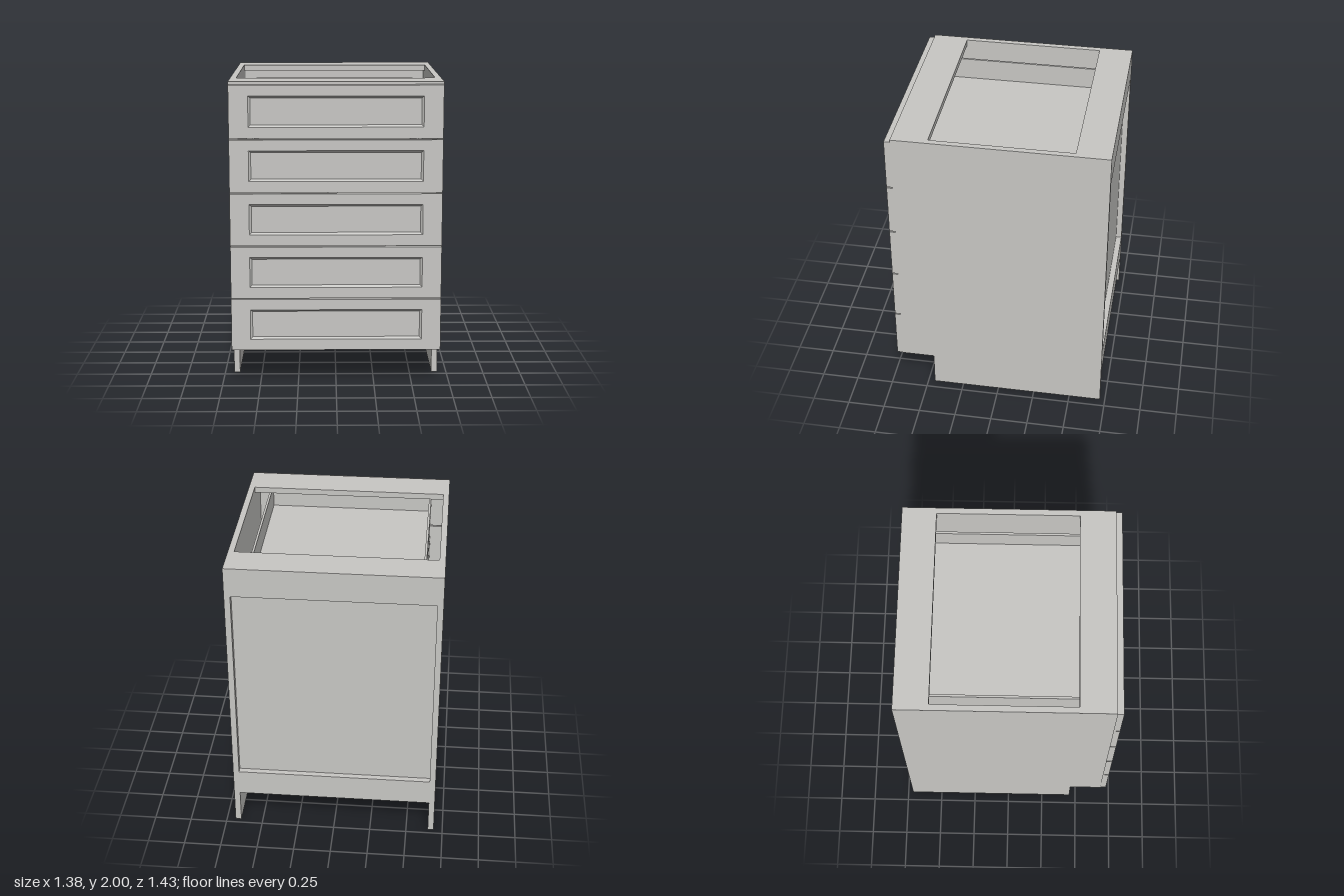
import * as THREE from 'three';

export function createModel() {
  const model = new THREE.Group();
  model.name = 'drawerCabinet';
  const paint = new THREE.MeshStandardMaterial({ color: 0xc8c7c4 });
  paint.name = 'light grey paint';

  // Box given by its limits on each axis
  function panel(name, [x0, x1], [y0, y1], [z0, z1], parent = model) {
    const mesh = new THREE.Mesh(new THREE.BoxGeometry(x1 - x0, y1 - y0, z1 - z0), paint);
    mesh.position.set((x0 + x1) / 2, (y0 + y1) / 2, (z0 + z1) / 2);
    mesh.name = name;
    parent.add(mesh);
  }

  const back = -0.715, front = 0.675, T = 0.04, inner = 0.65, base = 0.235;

  // Side panels with a toe notch
  const outline = new THREE.Shape([
    [back, 0], [0.455, 0], [0.455, base], [front, base], [front, 2], [back, 2],
  ].map(([z, y]) => new THREE.Vector2(-z, y)));
  for (const [name, x] of [['leftSide', inner], ['rightSide', -inner - T]]) {
    const geo = new THREE.ExtrudeGeometry(outline, { depth: T, bevelEnabled: false });
    geo.rotateY(Math.PI / 2);
    const side = new THREE.Mesh(geo, paint);
    side.position.x = x;
    side.name = name;
    model.add(side);
  }

  // Carcass: bottom, top stretchers, back rails and recessed back
  const span = [-inner, inner];
  panel('bottomPanel', span, [base, base + T], [back, front]);
  panel('rearStretcher', span, [2 - T, 2], [back, -0.49]);
  panel('frontStretcher', span, [2 - T, 2], [0.44, front]);
  panel('upperBackRail', span, [1.8, 2 - T], [back, back + T]);
  panel('lowerBackRail', span, [base + T, 0.415], [back, back + T]);
  panel('backPanel', span, [base + T, 2 - T], [back + T, back + T + 0.03]);

  // Drawer front: rectangular loops from the back edge to the recessed field
  function drawerFrontGeometry(y0, y1) {
    const loops = [
      [0.687, y0, y1, front],
      [0.687, y0, y1, 0.715],
      [0.562, y0 + 0.073, y1 - 0.07, 0.715],
      [0.548, y0 + 0.087, y1 - 0.084, 0.7],
    ].map(([x, a, b, z]) => [[-x, a, z], [x, a, z], [x, b, z], [-x, b, z]]);
    const pos = [];
    const quad = (a, b, c, d) => pos.push(...a, ...b, ...c, ...a, ...c, ...d);
    for (let i = 0; i < loops.length - 1; i++) {
      for (let k = 0; k < 4; k++) {
        const n = (k + 1) % 4;
        quad(loops[i][k], loops[i][n], loops[i + 1][n], loops[i + 1][k]);
      }
    }
    quad(...loops[3]);
    quad(...[...loops[0]].reverse());
    const geo = new THREE.BufferGeometry();
    geo.setAttribute('position', new THREE.Float32BufferAttribute(pos, 3));
    geo.computeVertexNormals();
    return geo;
  }

  // Five drawers, each a panelled front and an open box
  for (let i = 0; i < 5; i++) {
    const y0 = base + i * 0.351, y1 = y0 + 0.343;
    const drawer = new THREE.Group();
    drawer.name = 'drawer' + (i + 1);
    model.add(drawer);

    const face = new THREE.Mesh(drawerFrontGeometry(y0, y1), paint);
    face.name = 'drawerFront';
    drawer.add(face);

    const h = [y0 + 0.09, y0 + 0.265], w = 0.015, X = 0.567, zb = -0.553;
    panel('drawerLeftWall', [X - w, X], h, [zb, front], drawer);
    panel('drawerRightWall', [-X, w - X], h, [zb, front], drawer);
    panel('drawerBackWall', [w - X, X - w], h, [zb, zb + w], drawer);
    panel('drawerFrontWall', [w - X, X - w], h, [front - w, front], drawer);
    panel('drawerFloor', [w - X, X - w], [y0 + 0.1, y0 + 0.118], [zb + w, front - w], drawer);
  }
  return model;
}
